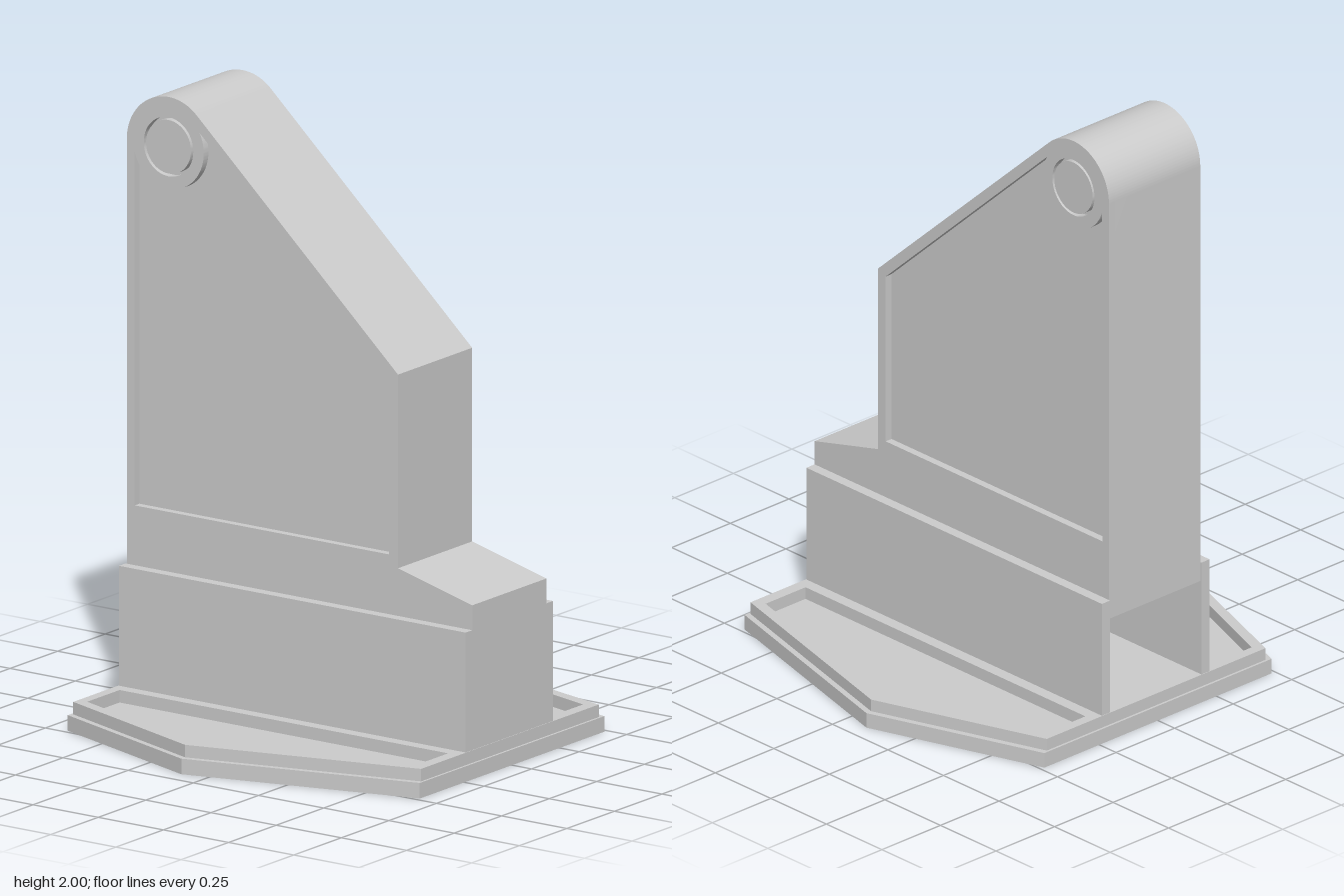
import * as THREE from 'three';
import { toCreasedNormals } from 'three/addons/utils/BufferGeometryUtils.js';

const material = new THREE.MeshStandardMaterial({ color: 0xcccccc });
const EYE = [-0.5, 1.84]; // pivot centre (z, y)

const polygon = (points) => new THREE.Shape(points.map(([a, b]) => new THREE.Vector2(a, b)));
const extrude = (shape, depth) =>
  new THREE.ExtrudeGeometry(shape, { depth, bevelEnabled: false, curveSegments: 40 });

function add(parent, name, geometry) {
  const mesh = new THREE.Mesh(toCreasedNormals(geometry, 0.5), material);
  mesh.name = name;
  parent.add(mesh);
  return mesh;
}

function addBox(parent, name, [x0, x1], [y0, y1], [z0, z1]) {
  const g = new THREE.BoxGeometry(x1 - x0, y1 - y0, z1 - z0);
  g.translate((x0 + x1) / 2, (y0 + y1) / 2, (z0 + z1) / 2);
  return add(parent, name, g);
}

// Shape drawn in (z, y), spanning x0..x1
const acrossX = (shape, x0, x1) => extrude(shape, x1 - x0).rotateY(-Math.PI / 2).translate(x1, 0, 0);

// Shape drawn in (x, z), spanning y0..y1
const upY = (shape, y0, y1) => extrude(shape, y1 - y0).rotateX(Math.PI / 2).translate(0, y1, 0);

const hexagon = (corner, tip, z) => polygon([
  [-corner, -z], [corner, -z], [tip, -0.09], [corner, z], [-corner, z], [-tip, -0.09],
]);

// Side outline of the upright
function uprightOutline() {
  const s = new THREE.Shape();
  s.moveTo(-0.66, 0.41);
  s.lineTo(0.665, 0.41);
  s.lineTo(0.665, 0.555);
  s.lineTo(0.38, 0.628);
  s.lineTo(0.38, 1.25);
  s.absarc(...EYE, 0.16, THREE.MathUtils.degToRad(47.5), Math.PI, false);
  s.closePath();
  return s;
}

// Recessed panel, cut away around the pivot boss
function panelOutline() {
  const p = new THREE.Path();
  p.moveTo(0.345, 1.235);
  p.lineTo(0.345, 0.667);
  p.lineTo(-0.63, 0.667);
  p.absarc(...EYE, 0.135, THREE.MathUtils.degToRad(196), THREE.MathUtils.degToRad(388), false);
  p.closePath();
  return p;
}

function circle(Type, radius) {
  const c = new Type();
  c.absarc(...EYE, radius, 0, Math.PI * 2, false);
  return c;
}

export function createModel() {
  const model = new THREE.Group();
  model.name = 'pedestalBracket';

  // Hexagonal foot with a shallow tray on each side
  const base = new THREE.Group();
  base.name = 'base';
  model.add(base);
  add(base, 'basePlate', upY(hexagon(0.485, 0.69, 0.675), 0, 0.05));
  const rim = hexagon(0.467, 0.67, 0.667);
  for (const s of [-1, 1]) {
    rim.holes.push(polygon([
      [0.27 * s, -0.633], [0.44 * s, -0.633], [0.635 * s, -0.09], [0.44 * s, 0.627], [0.27 * s, 0.627],
    ]));
  }
  add(base, 'baseRim', upY(rim, 0.05, 0.09));

  // Hollow housing, open at the back
  const housing = new THREE.Group();
  housing.name = 'housing';
  model.add(housing);
  for (const s of [-1, 1]) {
    const span = [0.195 * s, 0.23 * s].sort((a, b) => a - b);
    addBox(housing, s > 0 ? 'leftWall' : 'rightWall', span, [0.09, 0.475], [-0.665, 0.665]);
  }
  addBox(housing, 'frontWall', [-0.195, 0.195], [0.09, 0.41], [0.63, 0.665]);

  // Upright: solid core with a framed cheek and pivot pin on each side
  const upright = new THREE.Group();
  upright.name = 'upright';
  model.add(upright);
  add(upright, 'uprightCore', acrossX(uprightOutline(), -0.17, 0.17));
  for (const s of [-1, 1]) {
    const side = s > 0 ? 'left' : 'right';
    const [x0, x1] = s > 0 ? [0.17, 0.195] : [-0.195, -0.17];
    const cheek = uprightOutline();
    cheek.holes.push(panelOutline(), circle(THREE.Path, 0.095));
    add(upright, side + 'Cheek', acrossX(cheek, x0, x1));
    add(upright, side + 'PivotPin', acrossX(circle(THREE.Shape, 0.086), x0, x1));
  }
  return model;
}
